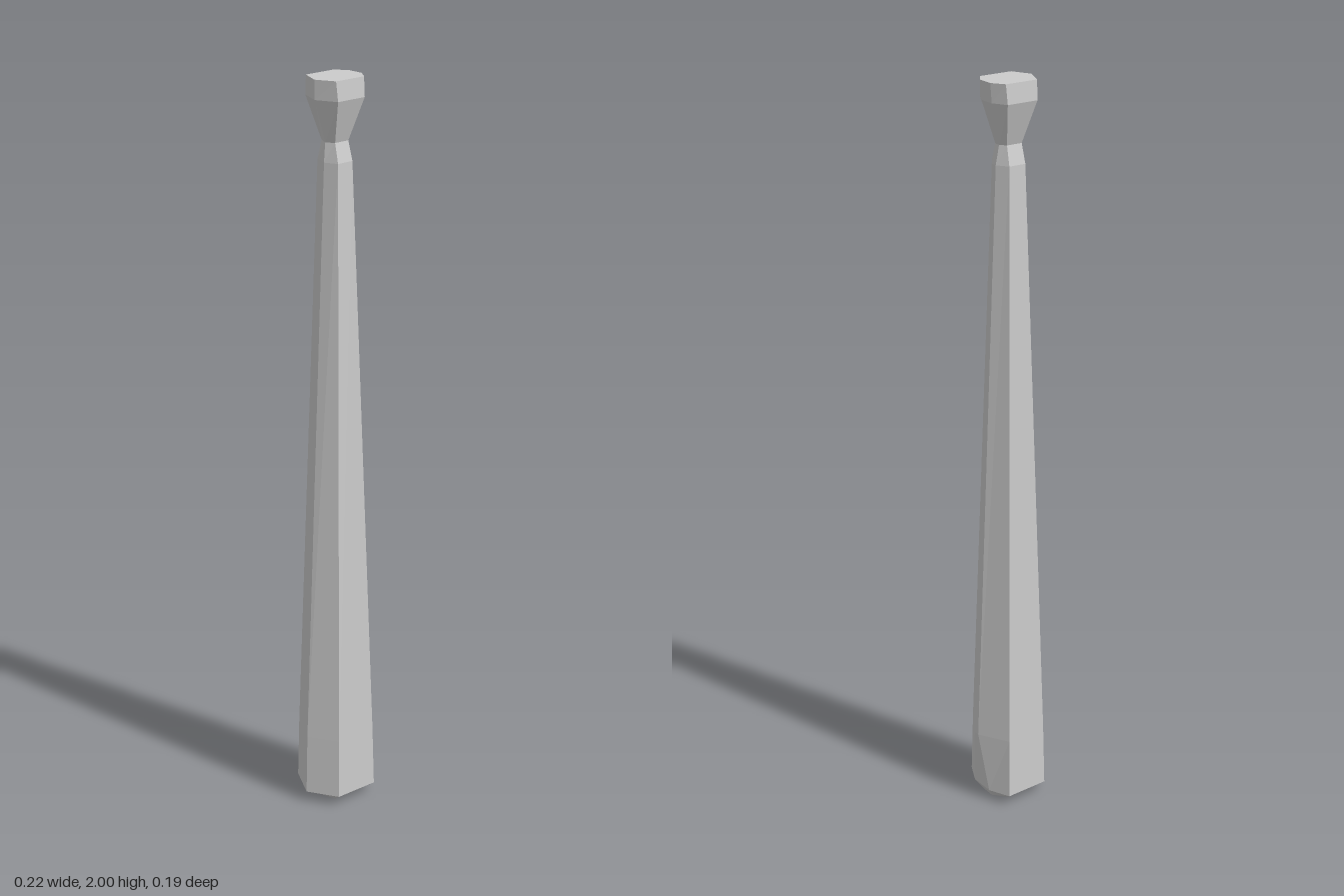
import * as THREE from 'three';

// Seven-sided cross-section: a point on the left, flats front and back,
// and a narrow bevel (half width b) on the right.
function ring({ y, xl, xr, cx, zl, zr, b }) {
  return [
    [-xl, 0.004], [-cx, zl], [cx, zr], [xr, b], [xr, -b], [cx, -zr], [-cx, -zl],
  ].map(([x, z]) => new THREE.Vector3(x, y, z));
}

// Skin a stack of cross-sections and close both ends.
function loft(name, sections, material) {
  const rings = sections.map(ring);
  const n = rings[0].length;
  const pos = [];
  const tri = (...pts) => pts.forEach((p) => pos.push(p.x, p.y, p.z));
  for (let r = 0; r < rings.length - 1; r++) {
    const lo = rings[r], hi = rings[r + 1];
    for (let i = 0; i < n; i++) {
      const j = (i + 1) % n;
      tri(lo[i], lo[j], hi[j]);
      tri(lo[i], hi[j], hi[i]);
    }
  }
  const bottom = rings[0], top = rings[rings.length - 1];
  for (let i = 1; i < n - 1; i++) {
    tri(bottom[0], bottom[i + 1], bottom[i]);
    tri(top[0], top[i], top[i + 1]);
  }
  const geometry = new THREE.BufferGeometry();
  geometry.setAttribute('position', new THREE.Float32BufferAttribute(pos, 3));
  geometry.computeVertexNormals();
  const mesh = new THREE.Mesh(geometry, material);
  mesh.name = name;
  return mesh;
}

export function createModel() {
  const group = new THREE.Group();
  group.name = 'club';
  const material = new THREE.MeshStandardMaterial({ color: 0xcccccc, flatShading: true });

  // Long tapered shaft with a chamfered foot and shoulder
  group.add(loft('shaft', [
    { y: 0, xl: 0.055, xr: 0.07, cx: 0.042, zl: 0.048, zr: 0.052, b: 0.02 },
    { y: 0.03, xl: 0.109, xr: 0.09, cx: 0.062, zl: 0.085, zr: 0.093, b: 0.035 },
    { y: 0.2, xl: 0.105, xr: 0.107, cx: 0.059, zl: 0.082, zr: 0.089, b: 0.008 },
    { y: 1.79, xl: 0.04, xr: 0.044, cx: 0.024, zl: 0.038, zr: 0.038, b: 0.008 },
    { y: 1.84, xl: 0.036, xr: 0.034, cx: 0.022, zl: 0.025, zr: 0.025, b: 0.008 },
  ], material));

  // Flared knob on top
  group.add(loft('knob', [
    { y: 1.84, xl: 0.036, xr: 0.034, cx: 0.022, zl: 0.025, zr: 0.025, b: 0.008 },
    { y: 1.95, xl: 0.07, xr: 0.065, cx: 0.044, zl: 0.06, zr: 0.06, b: 0.022 },
    { y: 2, xl: 0.071, xr: 0.069, cx: 0.046, zl: 0.055, zr: 0.055, b: 0.022 },
  ], material));

  return group;
}
